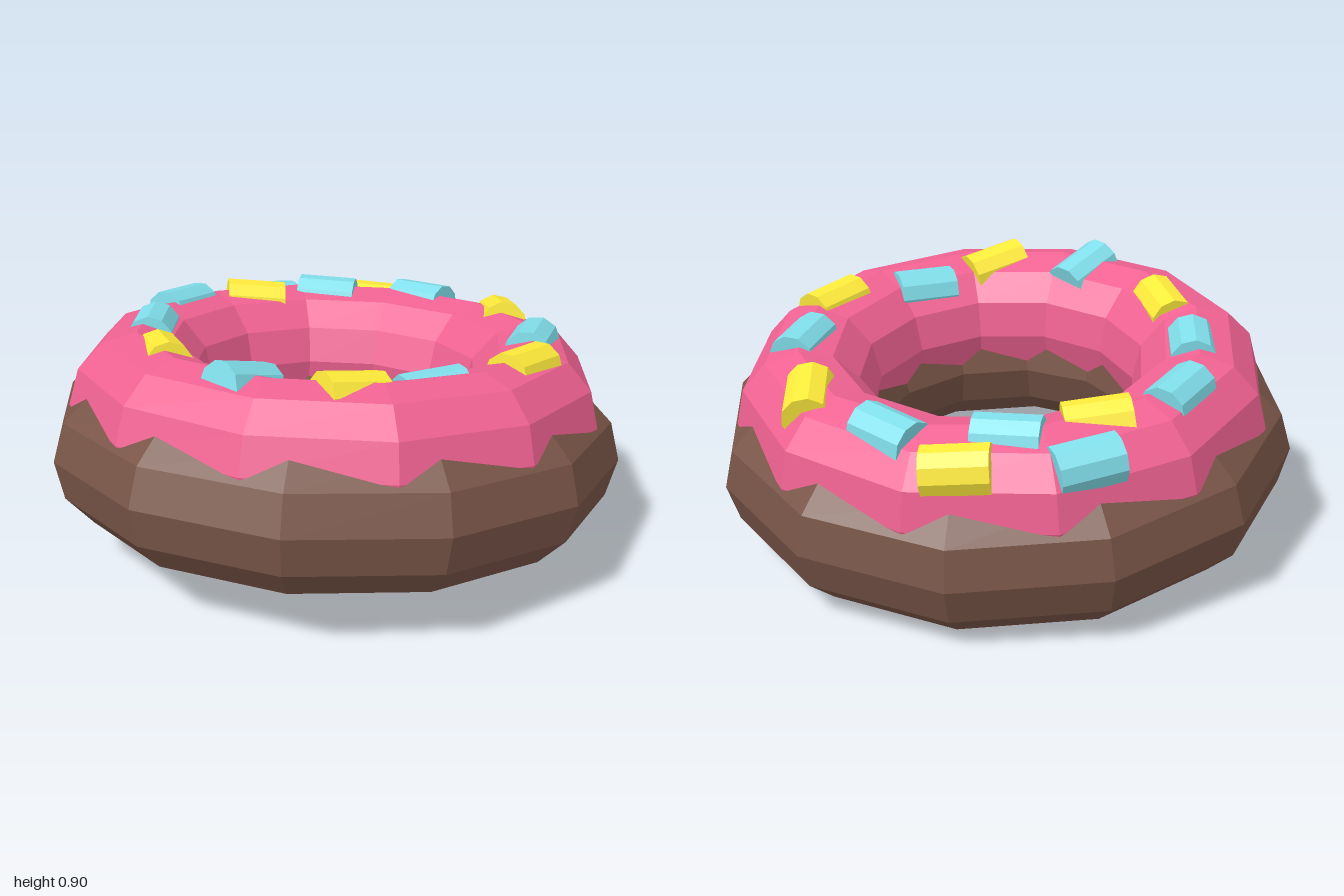
import * as THREE from 'three';

const paint = (color) => new THREE.MeshStandardMaterial({ color, flatShading: true });
const UP = new THREE.Vector3(0, 1, 0);

// Low-poly ring lying flat, turned by `turn` degrees about its axis
function ring(name, radius, tube, tubeHeight, turn, y, material) {
  const geometry = new THREE.TorusGeometry(radius, tube, 12, 12);
  geometry.rotateX(-Math.PI / 2);
  geometry.rotateY(-THREE.MathUtils.degToRad(turn));
  geometry.scale(1, tubeHeight / tube, 1);
  const mesh = new THREE.Mesh(geometry, material);
  mesh.name = name;
  mesh.position.y = y;
  return mesh;
}

export function createModel() {
  const model = new THREE.Group();
  model.name = 'doughnut';

  // Everything sits in one slightly tilted group
  const tilted = new THREE.Group();
  tilted.name = 'tiltedDoughnut';
  tilted.position.y = 0.357;
  tilted.quaternion.setFromUnitVectors(UP, new THREE.Vector3(0.05, 1, -0.11).normalize());
  model.add(tilted);

  // Dough, with the icing ring sunk into its upper half
  const R = 0.71, r = 0.235, icingHeight = 0.255, icingY = 0.155;
  tilted.add(ring('dough', 0.75, 0.27, 0.27, 19, 0, paint(0x795548)));
  tilted.add(ring('icing', R, r, icingHeight, 28, icingY, paint(0xf06292)));

  // Sprinkles: x, z, direction x, direction z, colour (0 yellow, 1 blue)
  const colors = [paint(0xffeb3b), paint(0x80deea)];
  const sprinkles = [
    [-0.13, -0.91, 0.21, -0.05, 1], [0.29, -0.87, 0.21, 0.04, 0],
    [-0.19, -0.67, 0.20, 0.01, 0], [0.10, -0.73, 0.20, 0.07, 1],
    [-0.49, -0.58, -0.13, 0.14, 1], [0.47, -0.64, 0.12, 0.14, 1],
    [0.72, -0.35, -0.03, 0.21, 0], [-0.60, -0.23, -0.04, 0.21, 1],
    [-0.58, 0.12, 0.02, 0.20, 0], [0.70, 0.07, -0.10, 0.20, 1],
    [0.58, 0.39, -0.15, 0.13, 0], [-0.37, 0.48, -0.15, 0.12, 1],
    [-0.05, 0.60, 0.20, -0.08, 0], [0.22, 0.48, 0.21, -0.04, 1],
  ];
  const stick = new THREE.CylinderGeometry(0.085, 0.085, 0.22, 10);
  const group = new THREE.Group();
  group.name = 'sprinkles';
  for (const [x, z, dx, dz, c] of sprinkles) {
    // Find the spot on the icing and lay the stick along its surface, half buried
    const px = x - 0.02, pz = z + 0.045;
    const rho = Math.hypot(px, pz);
    const u = THREE.MathUtils.clamp((rho - R) / 0.27, -0.95, 0.95);
    const v = Math.sqrt(1 - u * u);
    const normal = new THREE.Vector3(u * px / rho, v, u * pz / rho);
    const along = new THREE.Vector3(dx, 0, dz).projectOnPlane(normal).normalize();
    const side = new THREE.Vector3().crossVectors(along, normal);
    const mesh = new THREE.Mesh(stick, colors[c]);
    mesh.name = 'sprinkle';
    const reach = R + u * (r - 0.05);
    mesh.position.set(px / rho * reach, icingY + v * (icingHeight - 0.05), pz / rho * reach);
    mesh.quaternion.setFromRotationMatrix(new THREE.Matrix4().makeBasis(normal, along, side.negate()));
    if (mesh.quaternion.length() < 0.5) mesh.quaternion.setFromUnitVectors(UP, along);
    group.add(mesh);
  }
  tilted.add(group);
  return model;
}
